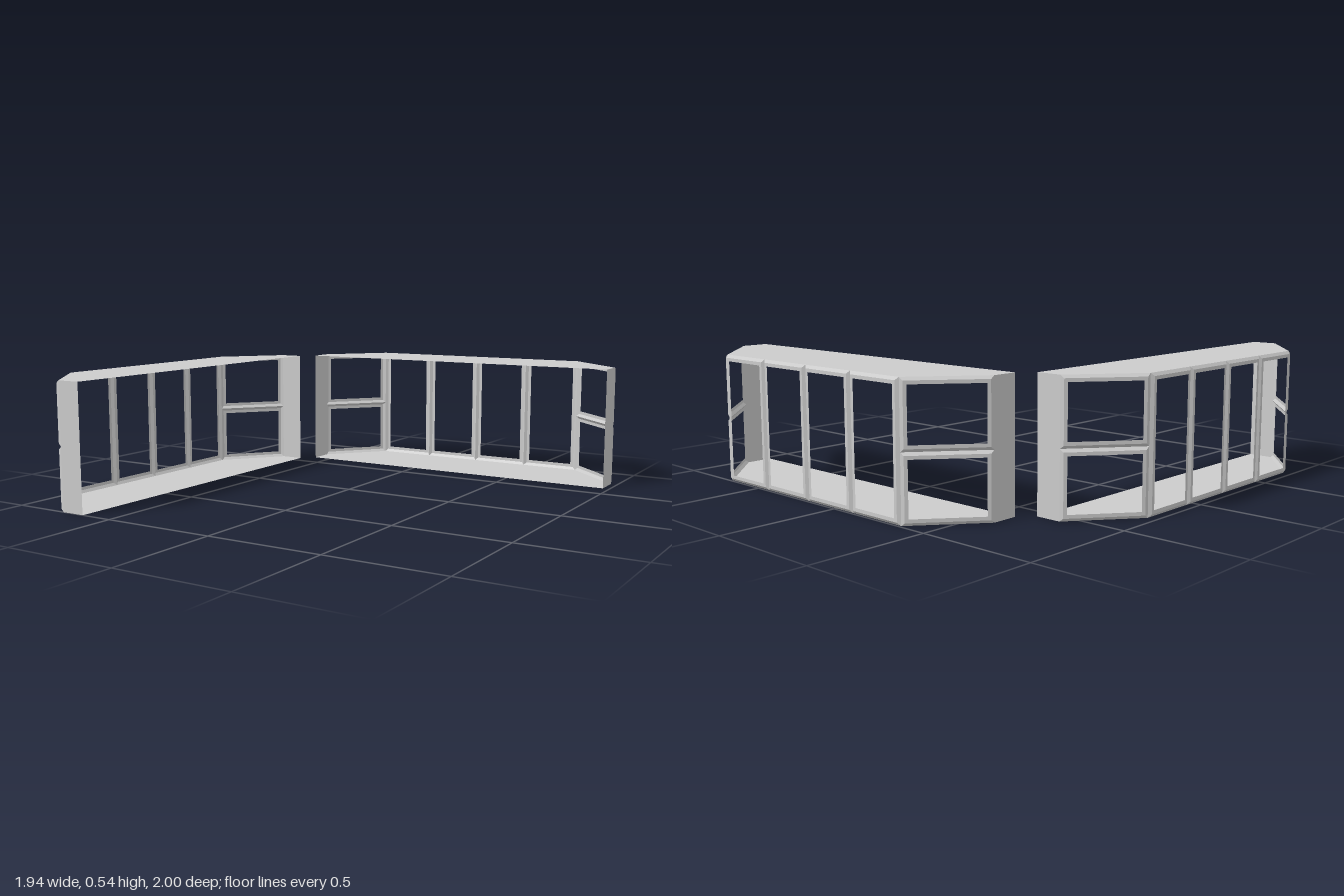
import * as THREE from 'three';

const HEIGHT = 0.54;
const RELIEF = 0.01; // how far the frame faces stand out from the seams
const CHAMFER = 0.012; // width of the chamfer beside each seam
const MARGIN = 0.026; // from seam to glass opening

const material = new THREE.MeshStandardMaterial({ color: 0xcccccc, side: THREE.DoubleSide, flatShading: true });

function addMesh(parent, geometry, name) {
  const mesh = new THREE.Mesh(geometry, material);
  mesh.name = name;
  parent.add(mesh);
}

// Geometry from a list of four-cornered faces
function quads(faces) {
  const positions = [];
  for (const [a, b, c, d] of faces) {
    for (const p of [a, b, c, a, c, d]) positions.push(...p);
  }
  const geometry = new THREE.BufferGeometry();
  geometry.setAttribute('position', new THREE.Float32BufferAttribute(positions, 3));
  geometry.computeVertexNormals();
  return geometry;
}

// Corners of an upright rectangle between plan points p and q, shrunk and pushed outward
function ring([px, pz], [qx, qz], y0, y1, inset, out) {
  const length = Math.hypot(qx - px, qz - pz);
  const ux = (qx - px) / length, uz = (qz - pz) / length;
  const corner = (along, y) => [px + ux * along + uz * out, y, pz + uz * along - ux * out];
  const u0 = inset, u1 = length - inset;
  return [corner(u0, y0 + inset), corner(u0, y1 - inset), corner(u1, y1 - inset), corner(u1, y0 + inset)];
}

// Open window frame: chamfered border, then a flat face around the opening
function frameGeometry(p, q, y0, y1) {
  const rings = [
    ring(p, q, y0, y1, 0, 0),
    ring(p, q, y0, y1, CHAMFER, RELIEF),
    ring(p, q, y0, y1, MARGIN, RELIEF),
  ];
  const faces = [];
  for (let r = 0; r < 2; r++) {
    for (let i = 0; i < 4; i++) {
      const j = (i + 1) % 4;
      faces.push([rings[r][i], rings[r][j], rings[r + 1][j], rings[r + 1][i]]);
    }
  }
  return quads(faces);
}

// Floor or ceiling sheet following the plan outline
function sheetGeometry(path, y, up) {
  const s = up ? -1 : 1;
  const shape = new THREE.Shape(path.map(([x, z]) => new THREE.Vector2(x, s * z)));
  return new THREE.ShapeGeometry(shape).rotateX(s * Math.PI / 2).translate(0, y, 0);
}

// Plan path: wall, slanted pane, straight front, slanted pane, wall
function bayWindow(name, path) {
  const bay = new THREE.Group();
  bay.name = name;
  const [a, b, c, d, e, f] = path;

  addMesh(bay, sheetGeometry(path, 0, false), 'bottomSheet');
  addMesh(bay, sheetGeometry(path, HEIGHT, true), 'topSheet');

  // Solid end walls
  for (const [p, q] of [[a, b], [e, f]]) {
    addMesh(bay, quads([ring(p, q, 0, HEIGHT, 0, 0)]), 'endWall');
  }

  // Slanted sides, each with two stacked panes
  for (const [p, q] of [[b, c], [d, e]]) {
    addMesh(bay, frameGeometry(p, q, 0, HEIGHT / 2), 'lowerSideFrame');
    addMesh(bay, frameGeometry(p, q, HEIGHT / 2, HEIGHT), 'upperSideFrame');
  }

  // Four tall panes along the front
  const at = (t) => [c[0] + (d[0] - c[0]) * t, c[1] + (d[1] - c[1]) * t];
  for (let i = 0; i < 4; i++) {
    addMesh(bay, frameGeometry(at(i / 4), at((i + 1) / 4), 0, HEIGHT), 'tallFrame');
  }
  return bay;
}

export function createModel() {
  const model = new THREE.Group();
  model.name = 'bayWindows';
  model.add(bayWindow('backBayWindow', [
    [-0.588, -0.62], [-0.588, -0.73], [-0.373, -0.99], [0.705, -0.99], [0.97, -0.735], [0.97, -0.62],
  ]));
  model.add(bayWindow('rightBayWindow', [
    [-0.645, 1], [-0.752, 1], [-0.96, 0.735], [-0.96, -0.3], [-0.752, -0.56], [-0.645, -0.56],
  ]));
  return model;
}
